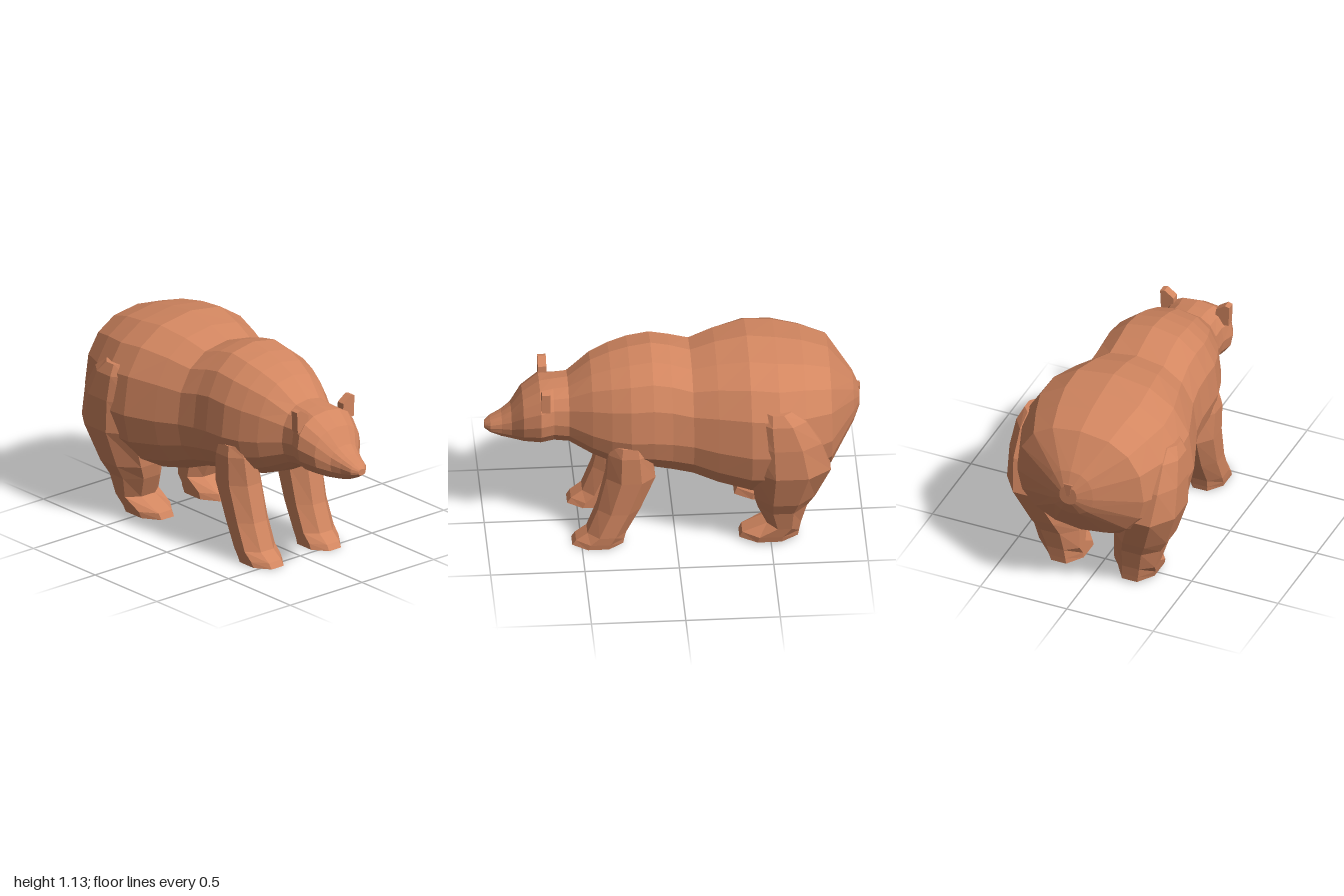
import * as THREE from 'three';

const fur = new THREE.MeshStandardMaterial({ color: 0xd28660, flatShading: true });
fur.name = 'brown fur';

// Joins rings of points into a closed skin; the ends are capped with fans.
function loft(rings) {
  const n = rings[0].length, pos = [];
  const tri = (...pts) => pts.forEach((p) => pos.push(p.x, p.y, p.z));
  const centre = (ring) => ring.reduce((s, p) => s.add(p), new THREE.Vector3()).divideScalar(n);
  const first = rings[0], last = rings[rings.length - 1];
  const c0 = centre(first), c1 = centre(last);
  for (let j = 0; j < n; j++) {
    const k = (j + 1) % n;
    for (let i = 0; i < rings.length - 1; i++) {
      const a = rings[i], b = rings[i + 1];
      tri(a[j], b[j], b[k]);
      tri(a[j], b[k], a[k]);
    }
    tri(c0, first[j], first[k]);
    tri(c1, last[k], last[j]);
  }
  const g = new THREE.BufferGeometry();
  g.setAttribute('position', new THREE.Float32BufferAttribute(pos, 3));
  g.computeVertexNormals();
  return g;
}

const power = (v, e) => Math.sign(v) * Math.abs(v) ** e;

// Upright body section: full, squarish back and rounder belly.
function bodyRing([x, bottom, mid, top, half], sides = 16) {
  return Array.from({ length: sides }, (_, j) => {
    const t = (j / sides) * Math.PI * 2, s = Math.sin(t), up = s > 0;
    const e = up ? 0.84 : 0.94;
    const y = mid + power(s, e) * (up ? top - mid : mid - bottom);
    return new THREE.Vector3(x, y, half * power(Math.cos(t), e));
  });
}

// Level leg section: an eight-sided box with cut corners.
function legRing([y, x0, x1, z0, z1], side) {
  const cx = (x0 + x1) / 2, cz = side * (z0 + z1) / 2;
  return Array.from({ length: 8 }, (_, j) => {
    const t = ((j + 0.5) / 8) * Math.PI * 2, r = 1 / Math.cos(Math.PI / 8);
    return new THREE.Vector3(
      cx + Math.cos(t) * r * (x1 - x0) / 2, y, cz - Math.sin(t) * r * (z1 - z0) / 2);
  });
}

// Sections from rump to nose: x, bottom, widest height, top, half width.
const BODY = [
  [-0.985, 0.67, 0.72, 0.78, 0.05],
  [-0.95, 0.59, 0.71, 0.86, 0.13],
  [-0.82, 0.40, 0.68, 1.035, 0.365],
  [-0.68, 0.31, 0.66, 1.085, 0.43],
  [-0.54, 0.275, 0.65, 1.11, 0.478],
  [-0.39, 0.26, 0.65, 1.127, 0.465],
  [-0.22, 0.30, 0.65, 1.095, 0.40],
  [-0.09, 0.35, 0.66, 1.05, 0.348],
  [0.02, 0.375, 0.67, 1.085, 0.332],
  [0.12, 0.40, 0.68, 1.105, 0.332],
  [0.24, 0.42, 0.68, 1.085, 0.325],
  [0.34, 0.435, 0.68, 1.055, 0.295],
  [0.44, 0.475, 0.69, 1.01, 0.25],
  [0.56, 0.54, 0.71, 0.91, 0.18],
  [0.64, 0.55, 0.72, 0.90, 0.178],
  [0.71, 0.545, 0.72, 0.89, 0.20],
  [0.80, 0.548, 0.69, 0.825, 0.16],
  [0.86, 0.553, 0.65, 0.74, 0.10],
  [0.91, 0.562, 0.64, 0.70, 0.075],
  [0.97, 0.59, 0.63, 0.668, 0.055],
  [1.0, 0.61, 0.625, 0.645, 0.025],
];

// Leg sections from top to sole: y, back x, front x, inner z, outer z.
const FRONT_LEG = [
  [0.64, 0.15, 0.34, 0.18, 0.315],
  [0.58, 0.13, 0.36, 0.14, 0.325],
  [0.42, 0.11, 0.37, 0.10, 0.32],
  [0.22, 0.19, 0.415, 0.10, 0.31],
  [0.075, 0.265, 0.47, 0.10, 0.31],
  [0.03, 0.275, 0.53, 0.10, 0.305],
  [0, 0.28, 0.55, 0.10, 0.30],
];
const HIND_LEG = [
  [0.90, -0.60, -0.46, 0.32, 0.44],
  [0.84, -0.68, -0.42, 0.28, 0.468],
  [0.70, -0.76, -0.40, 0.25, 0.485],
  [0.52, -0.81, -0.39, 0.18, 0.485],
  [0.31, -0.73, -0.41, 0.11, 0.415],
  [0.23, -0.69, -0.43, 0.10, 0.37],
  [0.11, -0.66, -0.48, 0.10, 0.335],
  [0.05, -0.65, -0.35, 0.10, 0.32],
  [0.015, -0.645, -0.335, 0.10, 0.31],
];

// Ear outline in (z, y), given depth along x.
function earGeometry(side) {
  const outline = [[0.12, 0.80], [0.195, 0.81], [0.2, 0.925], [0.175, 0.932], [0.122, 0.895]];
  const shape = new THREE.Shape(outline.map(([z, y]) => new THREE.Vector2(-side * z, y)));
  const g = new THREE.ExtrudeGeometry(shape, { depth: 0.045, bevelEnabled: false });
  return g.rotateY(Math.PI / 2).translate(0.662, 0, 0);
}

export function createModel() {
  const model = new THREE.Group();
  model.name = 'bear';
  const add = (name, geometry) => {
    const mesh = new THREE.Mesh(geometry, fur);
    mesh.name = name;
    model.add(mesh);
    return mesh;
  };

  add('bodyAndHead', loft(BODY.map((s) => bodyRing(s))));

  // Short tail pressed against the rump
  const tail = add('tail', new THREE.ConeGeometry(0.045, 0.12, 6));
  tail.position.set(-0.967, 0.73, 0);
  tail.rotation.z = Math.PI - 0.25;

  // The animal looks along +x, so its paired parts mirror across z.
  for (const side of [1, -1]) {
    const label = side > 0 ? 'Near' : 'Far';
    add('frontLeg' + label, loft(FRONT_LEG.map((s) => legRing(s, side))));
    add('hindLeg' + label, loft(HIND_LEG.map((s) => legRing(s, side))));
    add('ear' + label, earGeometry(side));
  }
  return model;
}
